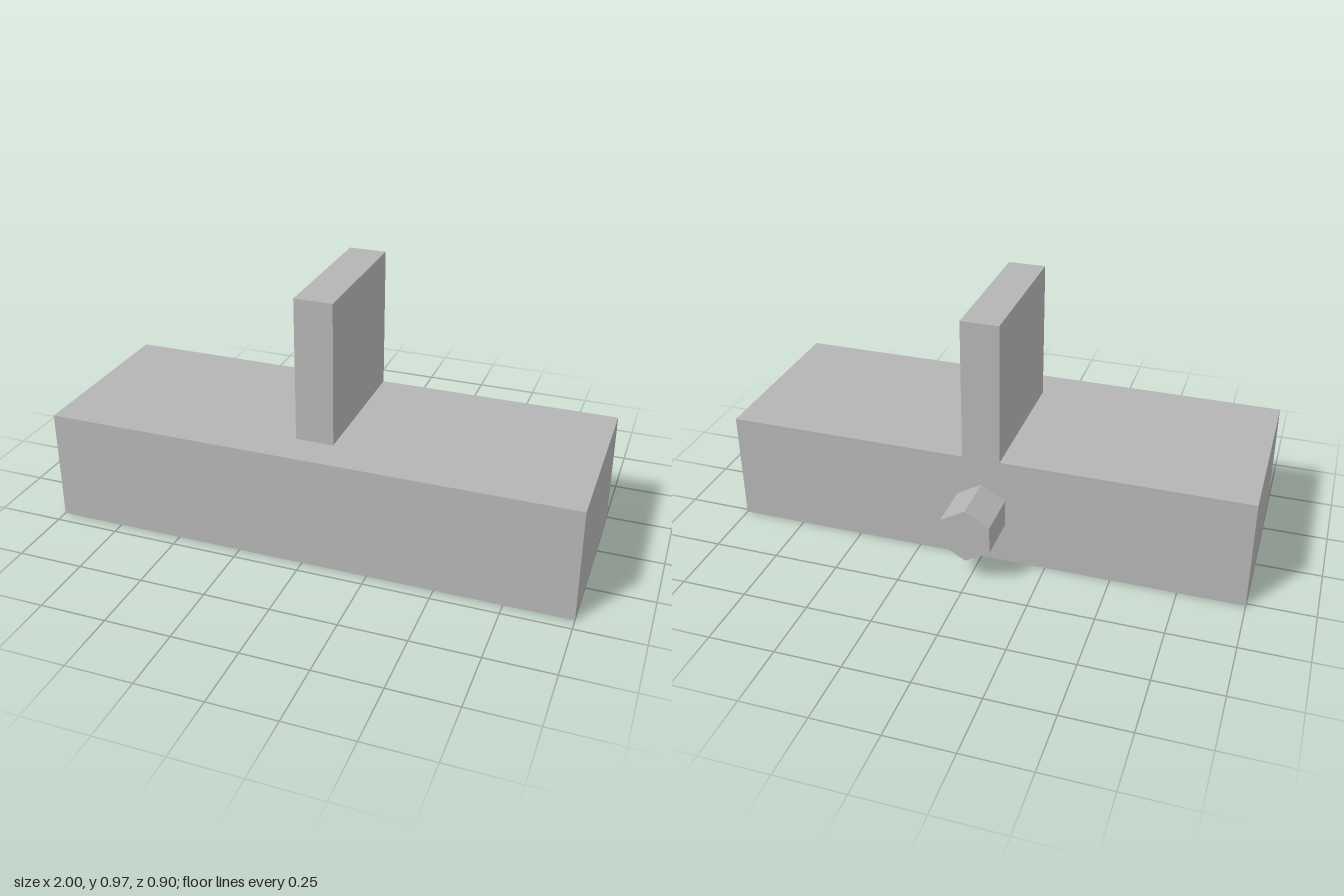
import * as THREE from 'three';

const grey = new THREE.MeshStandardMaterial({ color: 0xb4b4b4, flatShading: true });
grey.name = 'plain grey';

// Box given by its minimum and maximum corners
function box(name, min, max) {
  const size = max.map((v, i) => v - min[i]);
  const mesh = new THREE.Mesh(new THREE.BoxGeometry(...size), grey);
  mesh.position.set(...max.map((v, i) => (v + min[i]) / 2));
  mesh.name = name;
  return mesh;
}

export function createModel() {
  const model = new THREE.Group();
  model.name = 'block with fin and peg';

  // Long base block and the upright fin, flush at the back
  model.add(box('baseBlock', [-1, 0, -0.264], [1, 0.43, 0.45]));
  model.add(box('uprightFin', [-0.072, 0.43, -0.264], [0.072, 0.974, 0.308]));

  // Hexagonal peg on the back face, corners pointing up and down
  const pegGeometry = new THREE.CylinderGeometry(0.107, 0.107, 0.186, 6);
  pegGeometry.rotateX(Math.PI / 2);
  const peg = new THREE.Mesh(pegGeometry, grey);
  peg.position.set(0, 0.215, -0.357);
  peg.name = 'hexagonalPeg';
  model.add(peg);

  return model;
}
